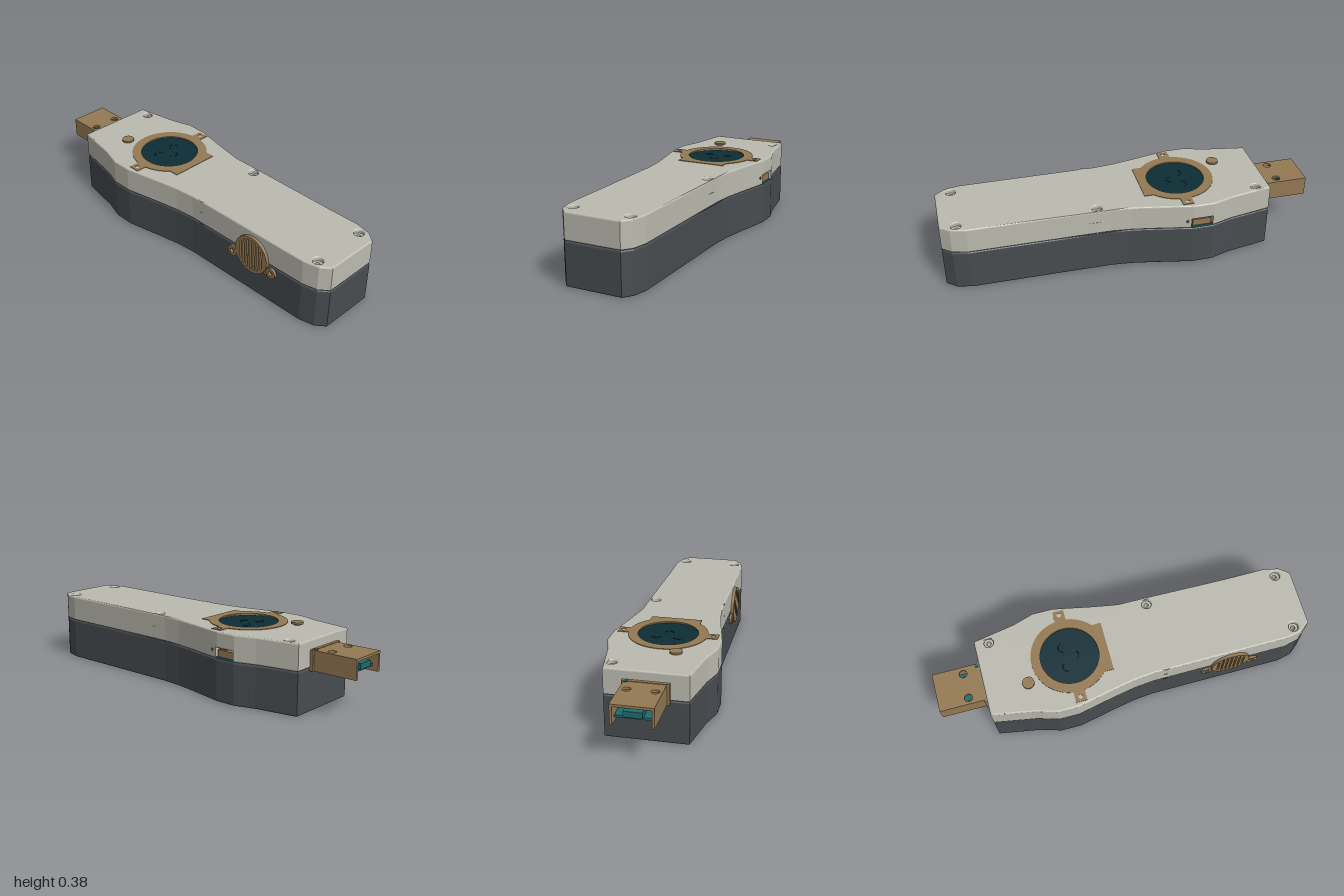
import * as THREE from 'three';

const mat = (name, color, extra = {}) => {
  const m = new THREE.MeshStandardMaterial({ color, ...extra });
  m.name = name;
  return m;
};
const V = (x, y) => new THREE.Vector2(x, y);
const circle = (x, y, r) => new THREE.Path().absarc(x, y, r, 0, Math.PI * 2, false);
const disc = (x, y, r) => new THREE.Shape().absarc(x, y, r, 0, Math.PI * 2, false);

// Extrude along +z between two levels, with an optional rounded edge that stays inside the outline
function slab(shape, from, to, bevel = 0) {
  const g = new THREE.ExtrudeGeometry(shape, {
    depth: to - from - 2 * bevel, bevelEnabled: bevel > 0, bevelThickness: bevel,
    bevelSize: bevel, bevelOffset: -bevel, bevelSegments: 3, curveSegments: 24,
  });
  return g.translate(0, 0, from + bevel);
}
// Shape (x, -z) raised along y
const plate = (...a) => slab(...a).rotateX(-Math.PI / 2);
// Shape (z, y) pushed out along -x
const sidePlate = (...a) => slab(...a).rotateY(-Math.PI / 2);

export function createModel() {
  const root = new THREE.Group();
  root.name = 'handheldDevice';
  const light = mat('lightShell', 0xbcbbb0);
  const dark = mat('darkShell', 0x484c50);
  const brown = mat('brownPlastic', 0x957a53);
  const screen = mat('screenGlass', 0x0c2d36);
  const teal = mat('circuitBoard', 0x1f6a6c);
  const add = (name, geo, m, parent = root) => {
    const mesh = new THREE.Mesh(geo, m);
    mesh.name = name;
    parent.add(mesh);
    return mesh;
  };
  const box = (name, m, x0, x1, y0, y1, z0, z1) => add(name,
    new THREE.BoxGeometry(x1 - x0, y1 - y0, z1 - z0)
      .translate((x0 + x1) / 2, (y0 + y1) / 2, (z0 + z1) / 2), m);

  // Half outline of the body as [half width, z], front to back
  const half = [[0.15, 1], [0.19, 0.95], [0.208, 0.87], [0.21, 0.13], [0.221, 0.02], [0.243, -0.1],
    [0.268, -0.22], [0.284, -0.3], [0.284, -0.41], [0.25, -0.52], [0.21, -0.745]];
  const screws = [[0.185, -0.67], [0.178, 0.195], [0.154, 0.915]]
    .flatMap(([x, z]) => [[x, z], [-x, z]]);
  const body = (notch) => {
    const right = half.map(([x, z]) => V(x, -z));
    // Pocket for the side port
    if (notch) right.splice(7, 2, V(0.281, 0.288), V(0.2, 0.288), V(0.2, 0.405), V(0.284, 0.405), V(0.284, 0.41));
    const left = half.map(([x, z]) => V(-x, -z)).reverse();
    const s = new THREE.Shape([...right, ...left]);
    screws.forEach(([x, z]) => s.holes.push(circle(x, -z, 0.026)));
    return s;
  };

  // Shell halves
  add('lowerShell', plate(body(false), 0.002, 0.226, 0.008), dark);
  add('upperShellBase', plate(body(true), 0.228, 0.299, 0.008), light);
  const topShape = body(false);
  topShape.holes.push(circle(0, 0.275, 0.162));
  add('upperShellTop', plate(topShape, 0.283, 0.368, 0.008), light);

  // Counterbored screw seats
  for (const [x, z] of screws) {
    const seat = () => {
      const s = disc(x, -z, 0.027);
      s.holes.push(circle(x, -z, 0.012));
      return s;
    };
    add('lowerScrewSeat', plate(seat(), 0.03, 0.21), dark);
    add('upperScrewSeat', plate(seat(), 0.24, 0.345), light);
  }

  // Screen bezel with flat chin and two screw tabs
  const R = 0.205, t = Math.asin(0.03 / R), c = Math.acos(0.135 / R);
  const bezel = new THREE.Shape();
  bezel.moveTo(-0.135, -R).lineTo(0.135, -R);
  bezel.absarc(0, 0, R, -c, -t, false);
  bezel.lineTo(0.26, -0.03).lineTo(0.26, 0.03);
  bezel.absarc(0, 0, R, t, Math.PI - t, false);
  bezel.lineTo(-0.26, 0.03).lineTo(-0.26, -0.03);
  bezel.absarc(0, 0, R, Math.PI + t, Math.PI + c, false);
  bezel.holes.push(circle(0, 0, 0.155), circle(0.235, 0, 0.012), circle(-0.235, 0, 0.012));
  add('screenBezel', plate(bezel, 0.364, 0.371), brown).position.z = -0.275;
  add('screen', new THREE.CylinderGeometry(0.165, 0.165, 0.05, 48).translate(0, 0.335, -0.275), screen);

  // Raised face lines on the screen
  const arc = (name, x, z, flip) => add(name,
    new THREE.TorusGeometry(0.024, 0.002, 6, 12, Math.PI)
      .rotateX(flip ? Math.PI / 2 : -Math.PI / 2).translate(x, 0.36, z), screen);
  arc('leftEye', 0.055, -0.3, false);
  arc('rightEye', -0.055, -0.3, false);
  arc('mouth', 0, -0.25, true);

  // Push button
  add('buttonStem', new THREE.CylinderGeometry(0.018, 0.018, 0.016, 24).translate(-0.094, 0.368, -0.518), brown);
  add('buttonCap', new THREE.CylinderGeometry(0.032, 0.032, 0.01, 32).translate(-0.094, 0.38, -0.518), brown);

  // Speaker grille on the right side
  const grille = disc(0.557, 0.235, 0.105);
  for (let i = -3; i <= 3; i++) {
    const z = 0.557 + i * 0.023, h = Math.sqrt(0.088 ** 2 - (i * 0.023) ** 2);
    grille.holes.push(new THREE.Path([V(z - 0.005, 0.235 - h), V(z + 0.005, 0.235 - h),
      V(z + 0.005, 0.235 + h), V(z - 0.005, 0.235 + h)]));
  }
  add('speakerGrille', sidePlate(grille, 0.205, 0.225), brown);
  add('speakerBacking', sidePlate(disc(0.557, 0.235, 0.1), 0.2, 0.213), brown);
  const ears = new THREE.Shape();
  ears.absarc(0.686, 0.19, 0.029, -Math.PI / 2, Math.PI / 2, false);
  ears.absarc(0.428, 0.19, 0.029, Math.PI / 2, Math.PI * 1.5, false);
  ears.holes.push(circle(0.686, 0.19, 0.012), circle(0.428, 0.19, 0.012),
    new THREE.Path([V(0.48, 0.175), V(0.63, 0.175), V(0.63, 0.205), V(0.48, 0.205)]));
  // The grille slots stay clear because the ear bar is opened behind them
  add('speakerEars', sidePlate(ears, 0.205, 0.2145), brown);
  for (const z of [0.428, 0.686]) {
    const ring = disc(z, 0.19, 0.029);
    ring.holes.push(circle(z, 0.19, 0.012));
    add('speakerEarRing', sidePlate(ring, 0.205, 0.222), brown);
  }

  // Side port on the left
  box('sidePortBoard', teal, 0.19, 0.278, 0.226, 0.236, -0.4, -0.293);
  box('sidePortBody', brown, 0.19, 0.272, 0.236, 0.272, -0.397, -0.297);
  box('sidePortLip', brown, 0.19, 0.262, 0.272, 0.288, -0.345, -0.3);
  add('sidePinhole', new THREE.CylinderGeometry(0.009, 0.009, 0.012, 16)
    .rotateZ(Math.PI / 2).rotateY(0.2).translate(0.274, 0.27, -0.268), dark);

  // Rear connector hood: roof, two walls and a collar, open behind and below
  const holes = [circle(-0.07, 0.84, 0.021), circle(0.066, 0.84, 0.021)];
  const roof = new THREE.Shape([V(-0.104, 0.74), V(0.104, 0.74), V(0.104, 1), V(-0.104, 1)]);
  roof.holes.push(...holes);
  add('hoodRoof', plate(roof, 0.304, 0.317), brown);
  box('hoodWallLeft', brown, 0.092, 0.104, 0.213, 0.305, -1, -0.74);
  box('hoodWallRight', brown, -0.104, -0.092, 0.213, 0.305, -1, -0.74);
  box('hoodCollar', brown, -0.118, 0.114, 0.213, 0.32, -0.762, -0.74);

  // Circuit board and plug inside the hood
  const board = new THREE.Shape([V(-0.09, 0.76), V(0.09, 0.76), V(0.09, 0.97), V(-0.09, 0.97)]);
  board.holes.push(circle(-0.07, 0.84, 0.01), circle(0.066, 0.84, 0.01));
  add('connectorBoard', plate(board, 0.238, 0.25), teal);
  box('connectorPlug', teal, -0.045, 0.045, 0.25, 0.28, -0.985, -0.88);
  box('connectorTab', teal, 0.084, 0.1, 0.3, 0.322, -0.772, -0.75);
  for (const x of [-0.07, 0.066]) {
    const post = disc(x, 0.84, 0.019);
    post.holes.push(circle(x, 0.84, 0.01));
    add('boardPost', plate(post, 0.225, 0.238), brown);
  }
  return root;
}
